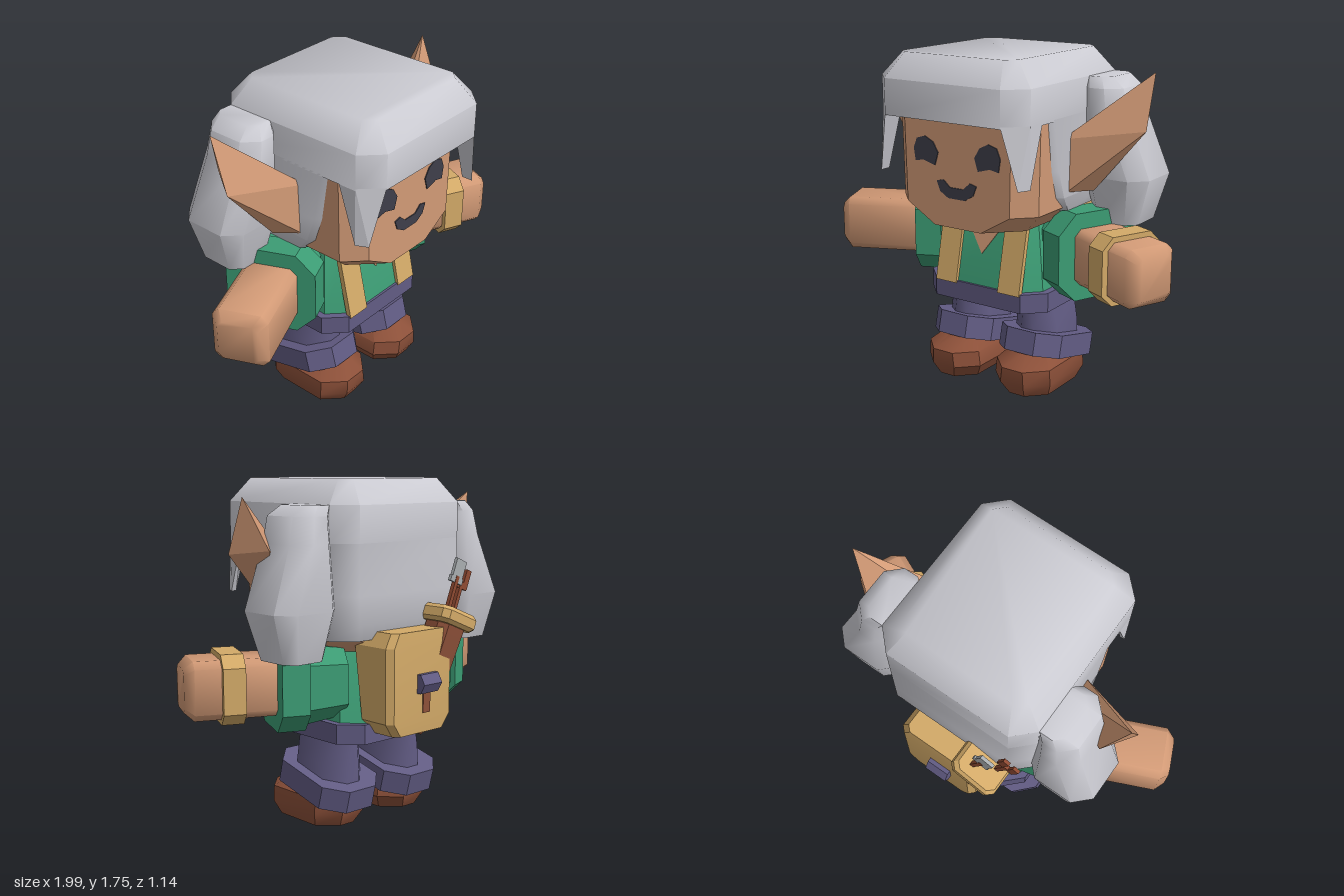
import * as THREE from 'three';
import { toCreasedNormals } from 'three/addons/utils/BufferGeometryUtils.js';
import { ConvexGeometry } from 'three/addons/geometries/ConvexGeometry.js';

const paint = (name, color) => {
  const m = new THREE.MeshStandardMaterial({ color });
  m.name = name;
  return m;
};

// Stack of chamfered rectangles: each section is [y, x0, x1, z0, z1, chamfer]
function loftGeometry(sections, crease) {
  const pos = [], idx = [], n = 8;
  for (const [y, x0, x1, z0, z1, c] of sections) {
    const ring = [[x1, z1 - c], [x1, z0 + c], [x1 - c, z0], [x0 + c, z0],
      [x0, z0 + c], [x0, z1 - c], [x0 + c, z1], [x1 - c, z1]];
    for (const [x, z] of ring) pos.push(x, y, z);
  }
  for (let r = 0; r < sections.length - 1; r++) {
    for (let i = 0; i < n; i++) {
      const a = r * n + i, b = r * n + (i + 1) % n;
      idx.push(a, b, b + n, a, b + n, a + n);
    }
  }
  const top = (sections.length - 1) * n;
  for (let i = 1; i < n - 1; i++) idx.push(0, i + 1, i, top, top + i, top + i + 1);
  const g = new THREE.BufferGeometry();
  g.setAttribute('position', new THREE.Float32BufferAttribute(pos, 3));
  g.setIndex(idx);
  return toCreasedNormals(g, crease);
}

export function createModel() {
  const skin = paint('skin', 0xd29a76), hair = paint('silver hair', 0xcbcbd2);
  const green = paint('green cloth', 0x3c9c74), gold = paint('tan leather', 0xd3aa68);
  const purple = paint('purple cloth', 0x625c84), brown = paint('brown leather', 0x8c5039);
  const dark = paint('dark features', 0x3f3f4a), metal = paint('grey metal', 0xa9adb0);
  const rust = paint('red wood', 0x8f4a32);

  const model = new THREE.Group();
  model.name = 'elfAdventurer';
  const add = (name, geo, mat, parent = model) => {
    const m = new THREE.Mesh(geo, mat);
    m.name = name;
    parent.add(m);
    return m;
  };
  const loft = (name, mat, sections, crease = 0.6, parent = model) =>
    add(name, loftGeometry(sections, crease), mat, parent);
  const hull = (name, mat, pts, parent = model) =>
    add(name, new ConvexGeometry(pts.map(p => new THREE.Vector3(...p))), mat, parent);
  // Section mirrored to side s
  const side = (s, [y, x0, x1, ...rest]) => s > 0 ? [y, x0, x1, ...rest] : [y, -x1, -x0, ...rest];

  // Head and face
  loft('head', skin, [
    [0.9, -0.3, 0.3, -0.3, 0.45, 0.16],
    [1.0, -0.41, 0.41, -0.35, 0.45, 0.1],
    [1.5, -0.42, 0.42, -0.35, 0.45, 0.1]]);
  const plate = (name, pts) => {
    const shape = new THREE.Shape(pts.map(p => new THREE.Vector2(...p)));
    const g = new THREE.ExtrudeGeometry(shape, { depth: 0.007, bevelEnabled: false });
    add(name, g, dark).position.z = 0.448;
  };
  for (const s of [1, -1]) {
    plate('eye', [[0.11, 1.27], [0.14, 1.32], [0.19, 1.345], [0.24, 1.33], [0.26, 1.28],
      [0.25, 1.215], [0.2, 1.225], [0.13, 1.205]].map(([x, y]) => [s * x, y]));
  }
  plate('mouth', [[-0.12, 1.13], [-0.08, 1.14], [-0.04, 1.105], [0.04, 1.105], [0.08, 1.14],
    [0.12, 1.13], [0.1, 1.08], [0.05, 1.05], [-0.05, 1.05], [-0.1, 1.08]]);

  // Hair: cap with fringe, back mass, front locks and side bunches
  loft('hairCap', hair, [
    [1.45, -0.44, 0.44, -0.41, 0.57, 0.1],
    [1.63, -0.44, 0.44, -0.41, 0.57, 0.1],
    [1.75, -0.34, 0.34, -0.31, 0.47, 0.05]], 0.9);
  loft('hairBack', hair, [
    [0.98, -0.42, 0.42, -0.38, 0.2, 0.09],
    [1.06, -0.44, 0.44, -0.41, 0.27, 0.1],
    [1.2, -0.44, 0.44, -0.41, 0.32, 0.1],
    [1.46, -0.44, 0.44, -0.41, 0.37, 0.1]].map(r => [...r.slice(0, 5), 0.1]), 0.9);
  for (const s of [1, -1]) {
    hull('frontLock', hair, [[0.34, 1.46, 0.57], [0.44, 1.46, 0.47], [0.44, 1.46, 0.37],
      [0.34, 1.46, 0.45], [0.41, 1.16, 0.53], [0.44, 1.16, 0.47], [0.41, 1.16, 0.47]]
      .map(([x, y, z]) => [s * x, y, z]));
    loft('hairBunch', hair, [
      [0.9, 0.46, 0.7, -0.33, -0.06, 0.05],
      [1.14, 0.4, 0.77, -0.38, 0.0, 0.08],
      [1.45, 0.4, 0.65, -0.35, 0.01, 0.08],
      [1.58, 0.4, 0.62, -0.33, 0.0, 0.07],
      [1.63, 0.4, 0.55, -0.31, -0.05, 0.04]].map(r => side(s, r)), 0.9);
    hull('ear', skin, [[0.4, 1.34, 0.13], [0.43, 1.08, 0.13], [0.52, 1.08, 0.02],
      [0.42, 1.34, 0.02], [0.78, 1.67, -0.09], [0.79, 1.4, 0.01], [0.68, 1.42, -0.16]]
      .map(([x, y, z]) => [s * x, y, z]));
  }

  // Torso, collar opening, straps and waist
  loft('tunic', green, [
    [0.55, -0.33, 0.33, -0.36, 0.28, 0.1],
    [0.92, -0.26, 0.26, -0.24, 0.2, 0.08],
    [0.98, -0.22, 0.22, -0.2, 0.16, 0.08]]);
  const frontZ = y => 0.28 - (y - 0.55) * 0.216;
  const onChest = (pts, t) => pts.flatMap(([x, y]) => [[x, y, frontZ(y) - 0.01], [x, y, frontZ(y) + t]]);
  hull('collarOpening', skin, onChest([[-0.14, 0.92], [0.14, 0.92], [0, 0.72]], 0.006));
  for (const s of [1, -1]) {
    hull('strap', gold, onChest([[0.13, 0.92], [0.26, 0.92], [0.26, 0.55], [0.13, 0.55]]
      .map(([x, y]) => [s * x, y]), 0.018));
  }
  loft('waist', purple, [
    [0.46, -0.365, 0.365, -0.37, 0.29, 0.1],
    [0.56, -0.365, 0.365, -0.37, 0.29, 0.1]]);

  // Arms, swept forward; local y runs along the arm
  for (const s of [1, -1]) {
    const arm = new THREE.Group();
    arm.name = s > 0 ? 'leftArm' : 'rightArm';
    arm.position.set(s * 0.3, 0.755, -0.095);
    arm.rotation.y = -s * 0.42;
    model.add(arm);
    const along = (name, mat, rows, crease) => {
      const sections = rows.map(([t, h, w, c]) => [t, -h, h, -w, w, c]);
      loft(name, mat, sections, crease, arm).rotation.z = -s * Math.PI / 2;
    };
    along('sleeve', green, [[-0.08, 0.17, 0.17, 0.07], [0.14, 0.2, 0.21, 0.09]]);
    along('sleeveCuff', green, [[0.13, 0.225, 0.235, 0.1], [0.27, 0.225, 0.235, 0.1]]);
    along('forearm', skin, [[0.2, 0.145, 0.14, 0.035], [0.67, 0.145, 0.14, 0.035],
      [0.715, 0.105, 0.1, 0.025]], 0.9);
    if (s > 0) along('wristBand', gold, [[0.43, 0.172, 0.172, 0.06], [0.54, 0.172, 0.172, 0.06]]);
  }

  // Legs, turned-up trousers and shoes
  for (const s of [1, -1]) {
    loft('leg', purple, [
      [0.15, 0.08, 0.35, -0.23, 0.15, 0.09],
      [0.33, 0.09, 0.34, -0.23, 0.15, 0.09],
      [0.47, 0.11, 0.31, -0.23, 0.15, 0.08]].map(r => side(s, r)), 0.9);
    const cuff = loft('trouserCuff', purple, [
      [-0.06, -0.187, 0.187, -0.26, 0.26, 0.1],
      [0.06, -0.187, 0.187, -0.26, 0.26, 0.1]]);
    cuff.position.set(s * 0.215, 0.215, -0.035);
    cuff.rotation.x = -0.25;
    loft('shoe', brown, [
      [0, 0.09, 0.36, -0.19, 0.26, 0.09],
      [0.07, 0.05, 0.39, -0.23, 0.3, 0.1],
      [0.15, 0.06, 0.385, -0.23, 0.3, 0.1],
      [0.22, 0.12, 0.31, -0.2, 0.2, 0.07]].map(r => side(s, r)));
  }

  // Backpack with clasp
  loft('backpack', gold, [
    [0.51, -0.15, 0.2, -0.52, -0.34, 0.03],
    [0.58, -0.2, 0.25, -0.525, -0.3, 0.03],
    [0.95, -0.2, 0.25, -0.525, -0.25, 0.03],
    [1.02, -0.16, 0.21, -0.52, -0.25, 0.03]], 0.4);
  add('claspTongue', new THREE.BoxGeometry(0.05, 0.12, 0.008), brown).position.set(0, 0.67, -0.527);
  const clasp = add('clasp', new THREE.CylinderGeometry(0.055, 0.055, 0.125, 6).toNonIndexed(), purple);
  clasp.geometry.computeVertexNormals();
  clasp.rotation.z = Math.PI / 2;
  clasp.position.set(0, 0.76, -0.52);

  // Tilted quiver with padded rim and two tools
  const quiver = new THREE.Group();
  quiver.name = 'quiver';
  quiver.position.set(-0.22, 1.05, -0.46);
  quiver.rotation.z = 0.38;
  model.add(quiver);
  loft('quiverBody', brown, [
    [-0.6, -0.05, 0.05, -0.02, 0.1, 0.03],
    [-0.53, -0.09, 0.09, -0.04, 0.12, 0.04],
    [0, -0.1, 0.1, -0.08, 0.08, 0.04]], 0.6, quiver);
  loft('quiverRim', gold, [
    [-0.04, -0.115, 0.115, -0.09, 0.08, 0.03],
    [-0.02, -0.13, 0.13, -0.105, 0.095, 0.03],
    [0.025, -0.13, 0.13, -0.105, 0.095, 0.03],
    [0.045, -0.115, 0.115, -0.09, 0.08, 0.03]], 0.6, quiver);
  const tools = [[-0.06, 0.03, rust], [0.05, -0.03, metal]];
  for (const [x, z, mat] of tools) {
    const box = (w, h, d, dx, y, m, name) =>
      add(name, new THREE.BoxGeometry(w, h, d), m, quiver).position.set(x + dx, y, z);
    box(0.022, 0.22, 0.022, 0, 0.1, rust, 'toolHandle');
    box(0.09, 0.03, 0.018, 0, 0.19, mat, 'toolCrossbar');
    if (mat === metal) box(0.075, 0.11, 0.018, 0, 0.24, mat, 'toolBlade');
    else for (const dx of [-0.03, 0.03]) box(0.035, 0.1, 0.018, dx, 0.23, mat, 'toolProng');
  }
  return model;
}
